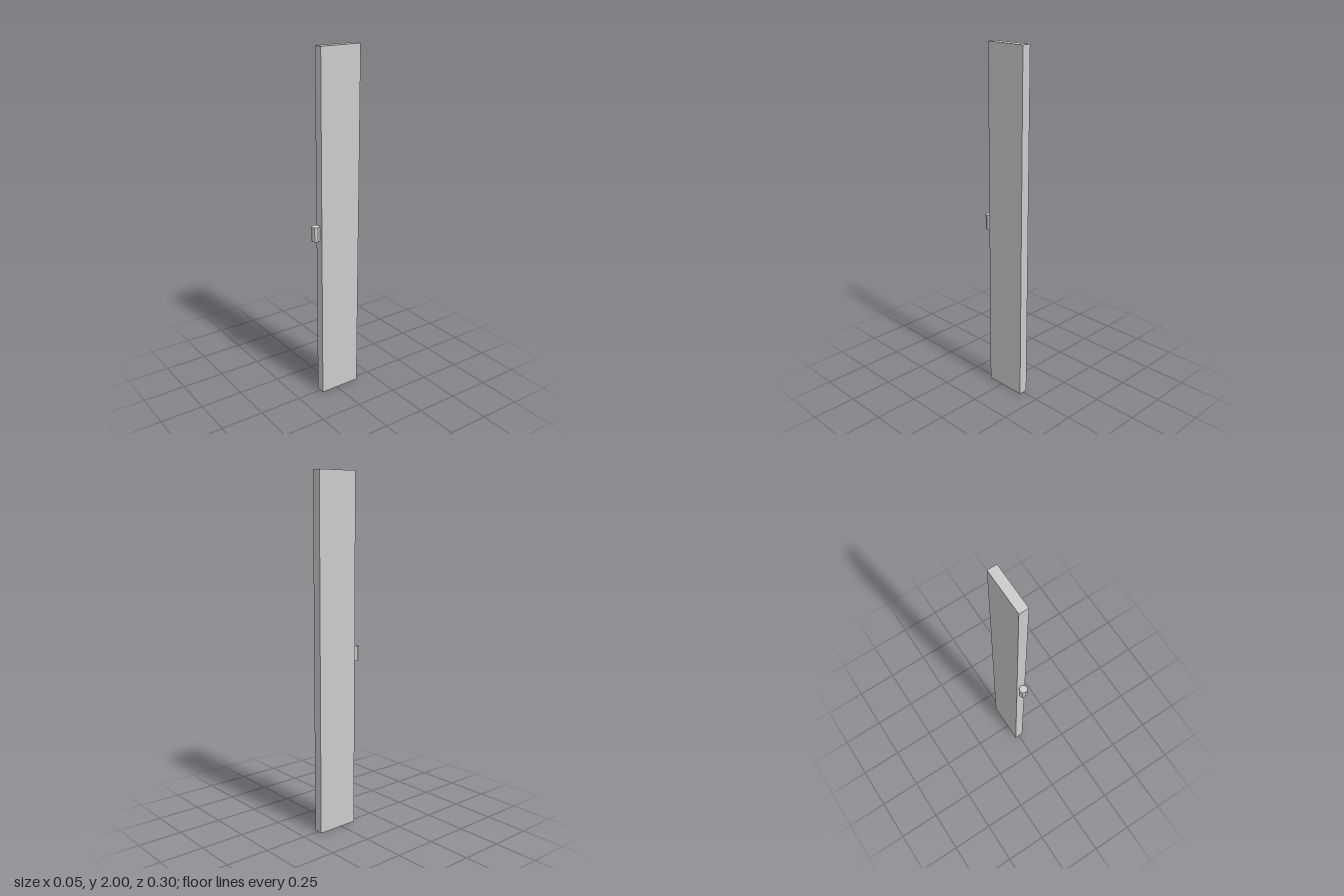
import * as THREE from 'three';

export function createModel() {
  const group = new THREE.Group();
  const material = new THREE.MeshStandardMaterial({ color: 0xcccccc, flatShading: true });

  const add = (name, geometry, x, y, z) => {
    const mesh = new THREE.Mesh(geometry, material);
    mesh.name = name;
    mesh.position.set(x, y, z);
    group.add(mesh);
  };

  // Tall thin panel standing on the ground
  add('panel', new THREE.BoxGeometry(0.052, 2, 0.248), 0, 1, -0.024);

  // Small eight-sided barrel against the middle of the front edge
  add('hingeBarrel', new THREE.CylinderGeometry(0.0235, 0.0235, 0.084, 8), 0, 1.003, 0.124);

  return group;
}
